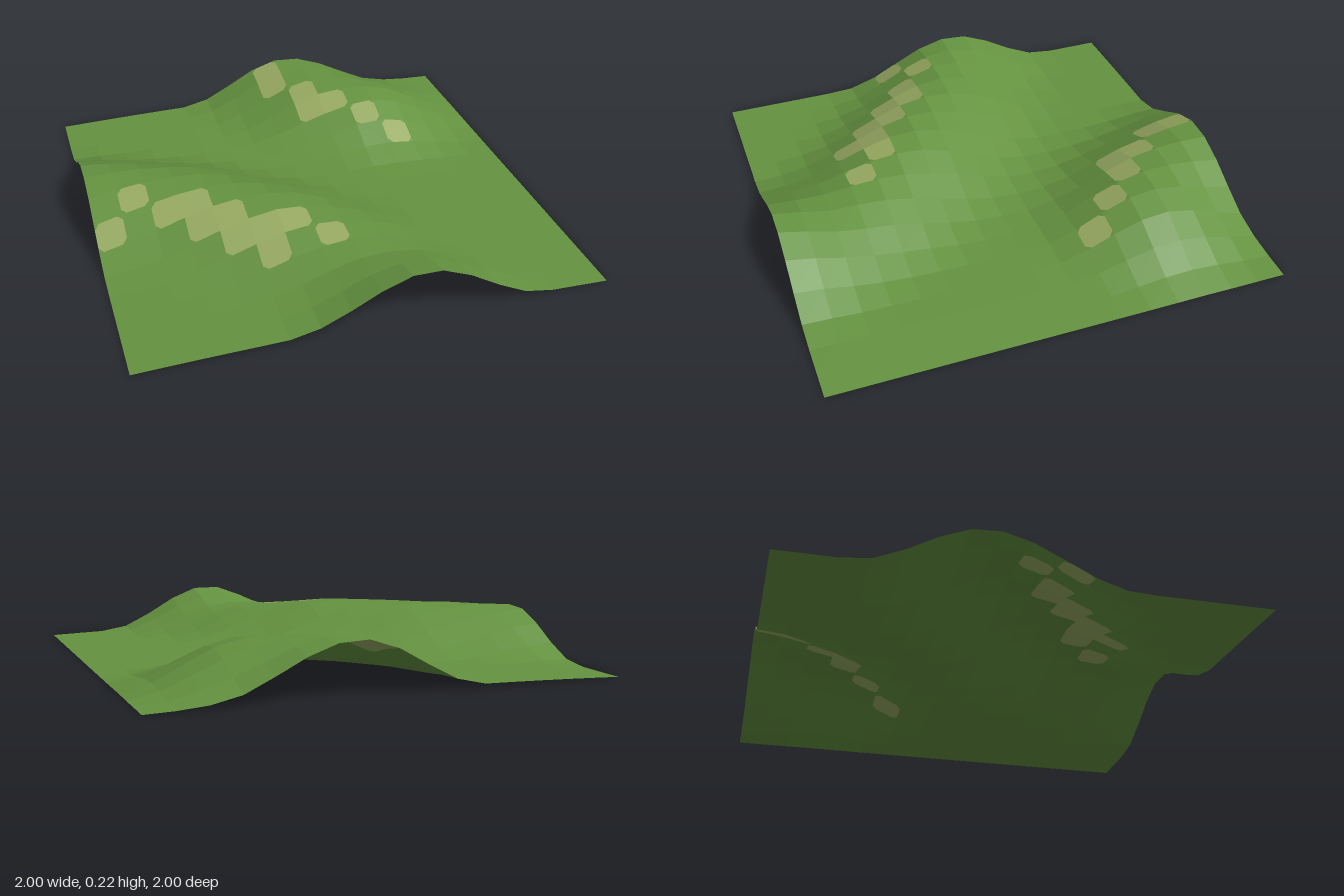
import * as THREE from 'three';

const N = 16, CELL = 2 / N, CUT = 0.022;

// Crest lines of the two hills: [x, z, height]
const crests = [
  [[0.17, -1, 0.205], [0.3, -0.75, 0.195], [0.48, -0.6, 0.18]],
  [[-1, -0.17, 0.205], [-0.6, 0.02, 0.205], [-0.22, 0.32, 0.195], [0.02, 0.57, 0.155], [0.1, 0.76, 0.145], [0.18, 1, 0.205]],
];

// Tiles of the two worn trails: [column, row]
const trail = [
  [8, 0], [8, 1], [9, 2], [9, 3], [10, 3], [11, 4], [12, 5],
  [0, 9], [1, 8], [2, 9], [3, 9], [3, 10], [4, 10], [4, 11], [5, 11], [5, 12], [6, 11], [7, 12],
];
const isTrail = (i, j) => trail.some(([a, b]) => a === i && b === j);

// Rounded ridge falling away from the nearest point of a crest line
function ridge(x, z, line, reach = 0.55) {
  let best = 0;
  for (let k = 0; k < line.length - 1; k++) {
    const [ax, az, ah] = line[k], [bx, bz, bh] = line[k + 1];
    const dx = bx - ax, dz = bz - az;
    const t = THREE.MathUtils.clamp(((x - ax) * dx + (z - az) * dz) / (dx * dx + dz * dz), 0, 1);
    const d = Math.min(Math.hypot(x - ax - dx * t, z - az - dz * t) / reach, 1);
    best = Math.max(best, (ah + (bh - ah) * t) * 0.5 * (1 + Math.cos(Math.PI * d)));
  }
  return best;
}

function height(x, z) {
  const swell = 0.018 * (1 - x * x);
  return swell + Math.max(...crests.map((line) => ridge(x, z, line)));
}

function createSheet(name, material, data) {
  const geometry = new THREE.BufferGeometry();
  geometry.setAttribute('position', new THREE.Float32BufferAttribute(data.position, 3));
  geometry.setAttribute('normal', new THREE.Float32BufferAttribute(data.normal, 3));
  const mesh = new THREE.Mesh(geometry, material);
  mesh.name = name;
  return mesh;
}

export function createModel() {
  const grassGreen = new THREE.MeshStandardMaterial({ color: 0x659340, side: THREE.DoubleSide });
  grassGreen.name = 'grassGreen';
  const trailTan = new THREE.MeshStandardMaterial({ color: 0x98ab62, side: THREE.DoubleSide });
  trailTan.name = 'trailTan';
  const grass = { position: [], normal: [] };
  const path = { position: [], normal: [] };

  for (let i = 0; i < N; i++) for (let j = 0; j < N; j++) {
    const x0 = -1 + i * CELL, z0 = -1 + j * CELL;
    // Corners in order, anticlockwise from above
    const steps = [[0, 0], [0, 1], [1, 1], [1, 0]];
    const corners = steps.map(([u, v]) => {
      const x = x0 + u * CELL, z = z0 + v * CELL;
      return new THREE.Vector3(x, height(x, z), z);
    });
    // One flat normal for the whole tile
    const normal = new THREE.Vector3().subVectors(corners[2], corners[0])
      .cross(new THREE.Vector3().subVectors(corners[3], corners[1])).normalize();
    const addFan = (sheet, points) => {
      for (let k = 1; k < points.length - 1; k++) {
        for (const p of [points[0], points[k], points[k + 1]]) {
          sheet.position.push(p.x, p.y, p.z);
          sheet.normal.push(normal.x, normal.y, normal.z);
        }
      }
    };
    if (!isTrail(i, j)) {
      addFan(grass, corners);
      continue;
    }
    // Trail tile: trim the corners that have no trail beside them
    const outline = [];
    corners.forEach((corner, k) => {
      const [u, v] = steps[k];
      const side = i + (u ? 1 : -1), row = j + (v ? 1 : -1);
      if (isTrail(side, j) || isTrail(i, row)) {
        outline.push(corner);
        return;
      }
      const a = corner.clone().lerp(corners[(k + 3) % 4], CUT / CELL);
      const b = corner.clone().lerp(corners[(k + 1) % 4], CUT / CELL);
      outline.push(a, b);
      addFan(grass, [a, corner, b]);
    });
    addFan(path, outline);
  }

  const model = new THREE.Group();
  model.name = 'hillyTerrain';
  model.add(createSheet('grassHills', grassGreen, grass), createSheet('wornTrails', trailTan, path));
  return model;
}
